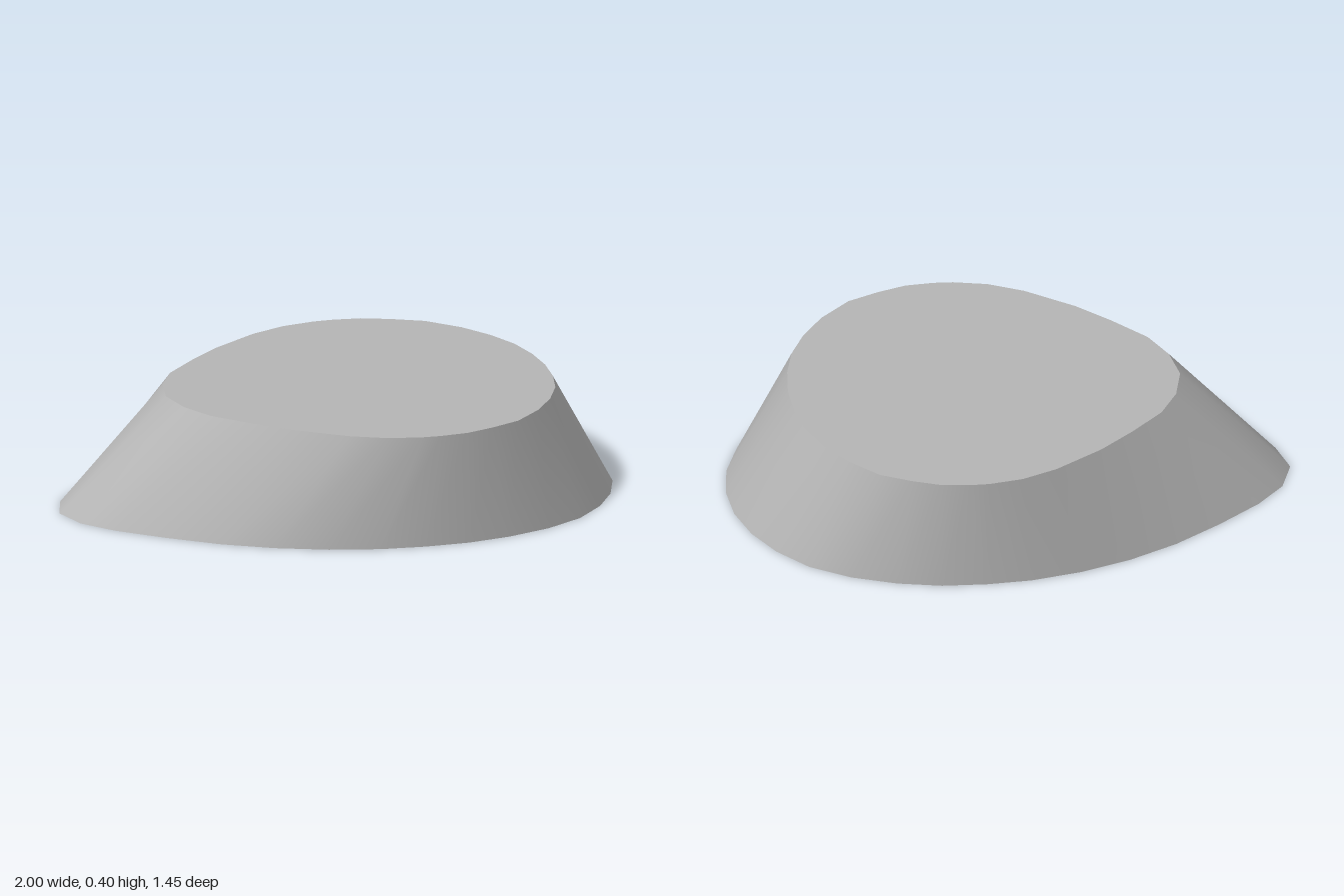
import * as THREE from 'three';

const HEIGHT = 0.4;

// Half outlines as [x, half width], from the narrow tip to the blunt end
const BASE = [[-1, 0], [-0.96, 0.135], [-0.866, 0.25], [-0.716, 0.38], [-0.55, 0.505], [-0.38, 0.6],
  [-0.2, 0.67], [-0.02, 0.713], [0.14, 0.726], [0.3, 0.722], [0.455, 0.692], [0.615, 0.634],
  [0.754, 0.548], [0.86, 0.43], [0.936, 0.297], [0.984, 0.152], [1, 0]];
const TOP = [[-0.61, 0], [-0.583, 0.14], [-0.52, 0.265], [-0.405, 0.39], [-0.285, 0.505], [-0.115, 0.628],
  [0.01, 0.687], [0.13, 0.711], [0.2, 0.713], [0.3, 0.703], [0.4, 0.666], [0.51, 0.612],
  [0.615, 0.505], [0.69, 0.388], [0.743, 0.265], [0.77, 0.136], [0.78, 0]];

// Mirror a half outline into a closed ring at height y
function ring(half, y) {
  const back = half.map(([x, w]) => [x, y, -w]);
  const front = half.slice(1, -1).reverse().map(([x, w]) => [x, y, w]);
  return [...back, ...front];
}

function buildMesh(name, points, index, material) {
  const geometry = new THREE.BufferGeometry();
  geometry.setAttribute('position', new THREE.Float32BufferAttribute(points.flat(), 3));
  geometry.setIndex(index);
  geometry.computeVertexNormals();
  const mesh = new THREE.Mesh(geometry, material);
  mesh.name = name;
  return mesh;
}

// Flat cap filling a convex ring
function cap(name, points, facesUp, material) {
  const index = [];
  for (let i = 1; i < points.length - 1; i++) {
    index.push(0, ...(facesUp ? [i + 1, i] : [i, i + 1]));
  }
  return buildMesh(name, points, index, material);
}

export function createModel() {
  const group = new THREE.Group();
  group.name = 'taperedEggBlock';
  const grey = new THREE.MeshStandardMaterial({ color: 0xb4b4b4 });
  grey.name = 'grey';

  const base = ring(BASE, 0);
  const top = ring(TOP, HEIGHT);
  const n = base.length;

  // Smooth sloping wall joining the two rings
  const wall = [];
  for (let i = 0; i < n; i++) {
    const j = (i + 1) % n;
    wall.push(j, i, n + i, j, n + i, n + j);
  }
  group.add(
    buildMesh('slopingWall', [...base, ...top], wall, grey),
    cap('topFace', top, true, grey),
    cap('bottomFace', base, false, grey),
  );
  return group;
}
